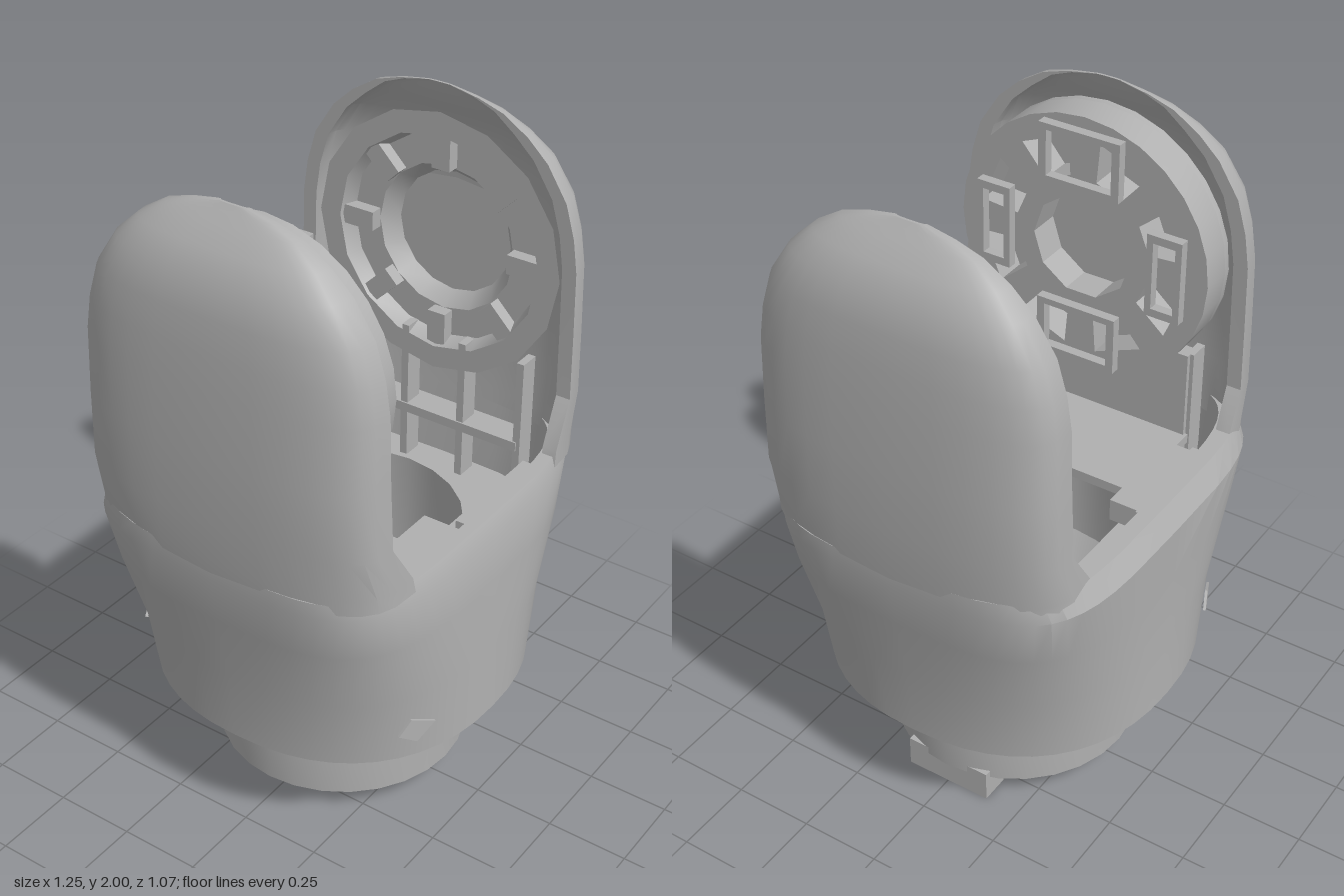
import * as THREE from 'three';
import { toCreasedNormals } from 'three/addons/utils/BufferGeometryUtils.js';

const grey = new THREE.MeshStandardMaterial({ color: 0xb0b0b0, side: THREE.DoubleSide });
grey.name = 'grey';

function add(parent, name, geometry, x = 0, y = 0, z = 0) {
  const mesh = new THREE.Mesh(toCreasedNormals(geometry, 0.5), grey);
  mesh.name = name;
  mesh.position.set(x, y, z);
  parent.add(mesh);
  return mesh;
}

// Box given by its low and high limits on each axis
function slab(parent, name, [x0, x1], [y0, y1], [z0, z1]) {
  return add(parent, name, new THREE.BoxGeometry(x1 - x0, y1 - y0, z1 - z0),
    (x0 + x1) / 2, (y0 + y1) / 2, (z0 + z1) / 2);
}

// Skin over closed rings that all have the same number of points
function loft(rings, capEnd = false) {
  const n = rings[0].length, index = [];
  for (let r = 0; r < rings.length - 1; r++) {
    for (let i = 0; i < n; i++) {
      const a = r * n + i, b = r * n + (i + 1) % n;
      index.push(a, a + n, b, b, a + n, b + n);
    }
  }
  if (capEnd) {
    const base = (rings.length - 1) * n;
    for (let i = 0; i < n / 2 - 1; i++) {
      const a = base + i, b = base + i + 1, c = base + n - 1 - i, d = base + n - 2 - i;
      index.push(a, c, b, b, c, d);
    }
  }
  const g = new THREE.BufferGeometry();
  g.setAttribute('position', new THREE.Float32BufferAttribute(rings.flat(2), 3));
  g.setIndex(index);
  return g;
}

// Point of a superellipse
const power = (v, n) => Math.sign(v) * Math.abs(v) ** (2 / n);
const superPoint = (t, hx, hz, n) => [hx * power(Math.cos(t), n), hz * power(Math.sin(t), n)];

const points = list => list.map(p => new THREE.Vector2(...p));

function circle(r, segments, Type = THREE.Shape) {
  const pts = [];
  for (let i = 0; i < segments; i++) {
    const a = (i / segments) * Math.PI * 2;
    pts.push(new THREE.Vector2(r * Math.cos(a), r * Math.sin(a)));
  }
  return new Type(pts);
}

const lathe = (pts, n) => new THREE.LatheGeometry(points(pts), n);
const extrude = (shape, depth) => new THREE.ExtrudeGeometry(shape, { depth, bevelEnabled: false });

// Hollow housing: round below, squarish at the rim, then down the inside
function housing() {
  // height, half width, half depth, squareness, rise of the back, bulge of the back
  const rows = [
    [0.35, 0.36, 0.36, 2, 0, 0], [0.35, 0.535, 0.535, 2.3, 0, 0], [0.58, 0.553, 0.528, 2.7, 0, 0],
    [0.8, 0.593, 0.522, 3.5, 0, 0.01], [0.95, 0.613, 0.512, 4.2, 0.02, 0.025], [1.0, 0.612, 0.49, 4.5, 0.04, 0.01],
    [1.0, 0.575, 0.45, 4.5, 0.04, 0], [0.72, 0.55, 0.44, 4.2, 0, 0],
  ];
  return loft(rows.map(([y, hx, hz, n, rise, bulge]) => {
    const ring = [];
    for (let i = 0; i < 48; i++) {
      const [x, z] = superPoint((i / 48) * Math.PI * 2, hx, hz, n);
      const back = Math.max(0, -z / hz);
      ring.push([x, y + back * rise, z - back * bulge]);
    }
    return ring;
  }));
}

// Upright fork arm: C-shaped sections, open to the inside
function armShell() {
  // height, inner x, outer x, half depth
  const rows = [
    [0.97, 0.36, 0.612, 0.49], [1.02, 0.37, 0.617, 0.487], [1.15, 0.45, 0.624, 0.476], [1.35, 0.455, 0.625, 0.47],
    [1.55, 0.455, 0.618, 0.465], [1.65, 0.455, 0.612, 0.45], [1.75, 0.455, 0.603, 0.42], [1.85, 0.455, 0.583, 0.355],
    [1.91, 0.455, 0.545, 0.29], [1.96, 0.455, 0.505, 0.21], [1.985, 0.455, 0.48, 0.13], [2.0, 0.455, 0.467, 0.05],
  ];
  return loft(rows.map(([y, xin, xout, w]) => {
    const ring = [], N = 16;
    const wall = Math.min(0.045, (xout - xin) * 0.6, w * 0.6);
    for (const [sign, off] of [[1, 0], [-1, wall]]) {
      for (let i = 0; i <= N; i++) {
        const t = sign * (-0.5 + i / N) * Math.PI;
        const [x, z] = superPoint(t, xout - off - xin, w - off, 3);
        ring.push([xin + x, y, z]);
      }
    }
    return ring;
  }), true);
}

// Joint disc with pockets round a centre bore, facing +x
function jointDisc() {
  const disc = new THREE.Group();
  disc.name = 'jointDisc';
  const face = circle(0.405, 28);
  face.holes.push(circle(0.16, 10, THREE.Path));
  for (let k = 0; k < 8; k++) {
    const a = ((k + 0.5) / 8) * Math.PI * 2;
    const at = (r, d) => new THREE.Vector2(r * Math.cos(a + d), r * Math.sin(a + d));
    face.holes.push(new THREE.Path([at(0.22, -0.2), at(0.34, -0.24), at(0.34, 0.24), at(0.22, 0.2)]));
  }
  add(disc, 'discFace', extrude(face, 0.1));
  add(disc, 'discBack', extrude(circle(0.405, 28), 0.02), 0, 0, -0.02);
  // Raised sockets, the upper and lower ones deeper
  for (let k = 0; k < 4; k++) {
    const a = (k / 4) * Math.PI * 2, w = k % 2 ? 0.09 : 0.055, h = 0.13;
    const rect = (x, y) => points([[-x, -y], [x, -y], [x, y], [-x, y]]);
    const frame = new THREE.Shape(rect(w, h));
    frame.holes.push(new THREE.Path(rect(w - 0.02, h - 0.025)));
    const socket = add(disc, 'socket', extrude(frame, 0.03), 0.28 * Math.cos(a), 0.28 * Math.sin(a), 0.1);
    socket.rotation.z = a;
  }
  disc.rotation.y = Math.PI / 2;
  disc.position.set(-0.44, 1.525, 0);
  return disc;
}

// Bearing seat with a ring of pockets, its axis along z until turned
function bearingSeat() {
  const seat = new THREE.Group();
  seat.name = 'bearingSeat';
  add(seat, 'seatRing', lathe(
    [[0.41, 0], [0.34, 0], [0.32, 0.05], [0.23, 0.05], [0.19, 0.1], [0.001, 0.1]], 16));
  for (let k = 0; k < 8; k++) {
    const a = (k / 8) * Math.PI * 2;
    const web = add(seat, 'seatWeb', new THREE.BoxGeometry(0.11, 0.04, 0.06), 0.285 * Math.cos(a), 0.03, 0.285 * Math.sin(a));
    web.rotation.y = -a;
  }
  seat.rotation.z = -Math.PI / 2;
  seat.position.set(0.465, 1.5, 0);
  return seat;
}

export function createModel() {
  const model = new THREE.Group();
  model.name = 'forkLink';

  add(model, 'housing', housing());

  // Fork arms with ribs inside
  for (const side of [1, -1]) {
    const arm = new THREE.Group();
    arm.name = side > 0 ? 'leftArm' : 'rightArm';
    add(arm, 'armShell', armShell());
    for (const z of [-0.3, -0.1, 0.1, 0.3]) {
      slab(arm, 'rib', [0.465, 0.53], [0.74, 1.2], [z - 0.012, z + 0.012]);
    }
    slab(arm, 'ribShelf', [0.46, 0.55], [0.9, 0.93], [-0.3, 0.3]);
    arm.scale.x = side;
    model.add(arm);
  }
  model.add(bearingSeat());

  // Joint disc on the right arm with its mounting wall
  model.add(jointDisc());
  slab(model, 'discWall', [-0.5, -0.45], [0.72, 1.2], [-0.3, 0.3]);

  // Floor with a round well
  const outline = [];
  for (let i = 0; i < 32; i++) outline.push(superPoint((i / 32) * Math.PI * 2, 0.55, 0.44, 4.2));
  const floor = new THREE.Shape(points(outline));
  floor.holes.push(circle(0.36, 24, THREE.Path));
  add(model, 'floor', extrude(floor, 0.02), 0, 0.74, 0).rotation.x = Math.PI / 2;
  add(model, 'well', lathe(
    [[0.37, 0.72], [0.37, 0.82], [0.35, 0.82], [0.34, 0.5], [0.28, 0.42], [0.115, 0.42], [0.115, 0.12]], 24));

  // Inner deck and side rails
  slab(model, 'deck', [-0.46, -0.13], [0.89, 0.92], [-0.31, 0.31]);
  for (const s of [-1, 1]) {
    slab(model, 'sideRail', [-0.46, 0.46], [0.74, 0.88], [s * 0.37 - 0.04, s * 0.37 + 0.04]);
    slab(model, 'deckRail', [-0.36, -0.03], [0.88, 0.95], [s * 0.36 - 0.06, s * 0.36 + 0.06]);
    slab(model, 'rimClip', [-0.025, 0], [0.86, 0.97], [s * 0.43 - 0.03, s * 0.43 + 0.03]);
    // Small diamond marks low on the front and back
    const mark = add(model, 'diamondMark', extrude(new THREE.Shape(points(
      [[-0.06, 0], [0, -0.04], [0.06, 0.01], [-0.02, 0.045]])), 0.008), -0.32, 0.46, s * 0.476);
    mark.rotation.y = s > 0 ? -0.42 : Math.PI + 0.42;
  }

  // Neck, flange and hollow underside
  add(model, 'base', lathe(
    [[0.115, 0.13], [0.2, 0.13], [0.2, 0.1], [0.24, 0.1], [0.24, 0.14], [0.31, 0.14], [0.32, 0.075], [0.38, 0.075],
      [0.38, 0.2], [0.36, 0.2], [0.36, 0.285], [0.4, 0.3], [0.41, 0.35]], 28));
  for (let k = 0; k < 8; k++) {
    const a = (k / 8) * Math.PI * 2;
    const web = add(model, 'baseWeb', new THREE.BoxGeometry(0.09, 0.05, 0.03), 0.275 * Math.cos(a), 0.12, 0.275 * Math.sin(a));
    web.rotation.y = -a;
  }
  for (const s of [-1, 1]) slab(model, 'collarLug', [-0.03, 0.03], [0.305, 0.35], [s * 0.42 - 0.04, s * 0.42 + 0.04]);
  slab(model, 'collarLug', [-0.425, -0.35], [0.305, 0.35], [-0.08, 0.08]);

  // Locating tab
  slab(model, 'locatingTab', [0.28, 0.372], [0, 0.1], [-0.14, 0.14]);
  return model;
}
